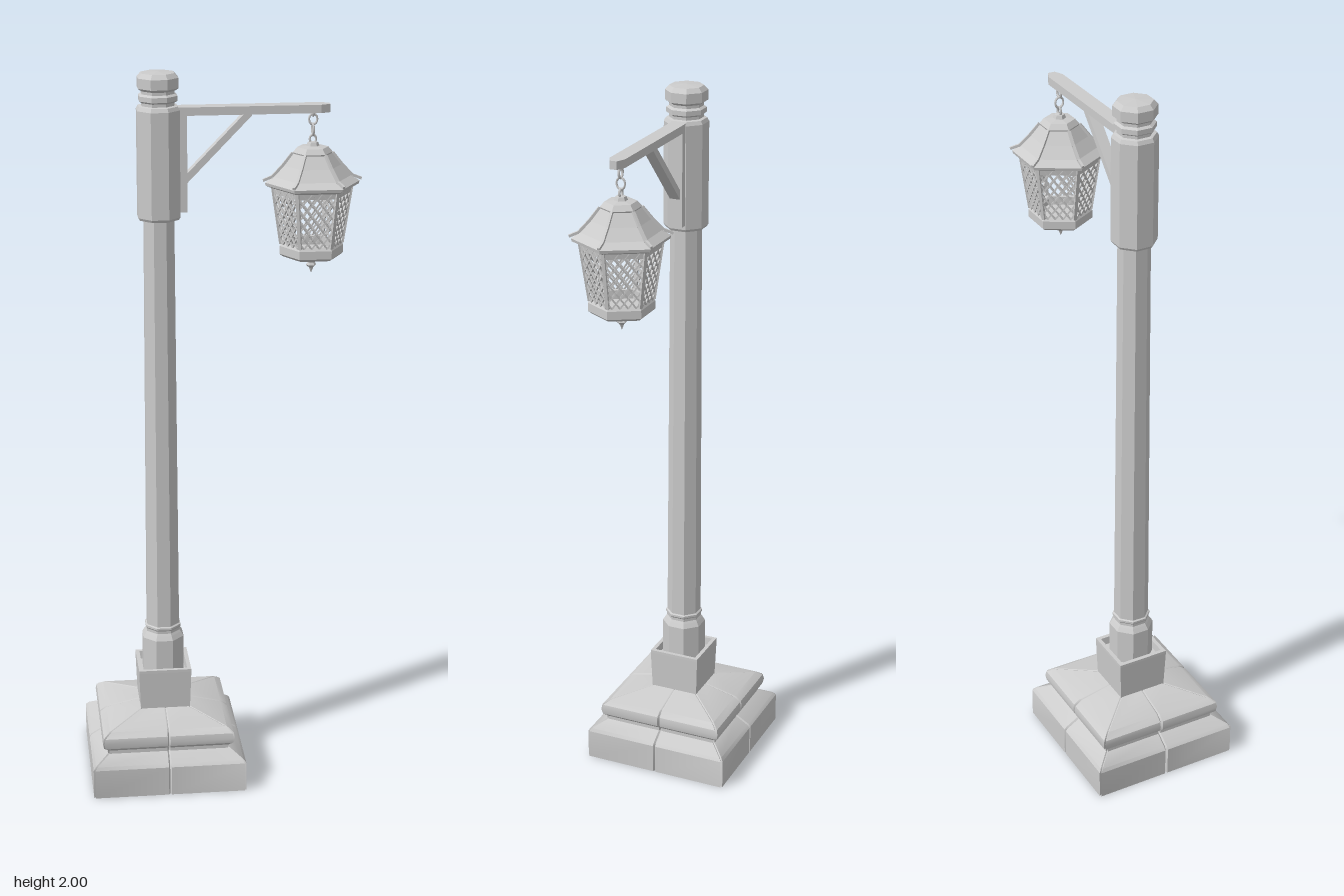
import * as THREE from 'three';
import { toCreasedNormals } from 'three/addons/utils/BufferGeometryUtils.js';

const flat = new THREE.MeshStandardMaterial({ color: 0xcccccc, flatShading: true, side: THREE.DoubleSide });
const smooth = new THREE.MeshStandardMaterial({ color: 0xcccccc });

function add(parent, name, geometry, material = flat) {
  const mesh = new THREE.Mesh(geometry, material);
  mesh.name = name;
  parent.add(mesh);
  return mesh;
}

// Faceted turning; profile is [apothem or radius, y] from bottom to top
function prism(parent, name, sides, profile, byCorner = false) {
  const k = byCorner ? 1 : 1 / Math.cos(Math.PI / sides);
  const points = profile.map(([r, y]) => new THREE.Vector2(r * k, y));
  return add(parent, name, new THREE.LatheGeometry(points, sides, Math.PI / sides));
}

// Square bar between two points
function bar(parent, name, a, b, width, height = width) {
  const mesh = new THREE.Mesh(new THREE.BoxGeometry(width, height, a.distanceTo(b)), flat);
  mesh.name = name;
  mesh.position.copy(a).lerp(b, 0.5);
  mesh.lookAt(b);
  parent.add(mesh);
  return mesh;
}

// Square stone base with joint grooves at the corners and the middle of each side
function stoneBase(profile) {
  const rings = profile.map(([h, y]) => {
    const g = Math.min(0.004, h * 0.1), ring = [];
    const side = [[-h + g, h], [-g, h], [0, h - 2 * g], [g, h], [h - g, h], [h - 2 * g, h - 2 * g]];
    for (let s = 0; s < 4; s++) {
      for (let [x, z] of side) {
        for (let i = 0; i < s; i++) [x, z] = [z, -x];
        ring.push(x, y, z);
      }
    }
    return ring;
  });
  const n = 24, index = [];
  for (let i = 0; i < rings.length - 1; i++) {
    for (let j = 0; j < n; j++) {
      const a = i * n + j, b = i * n + (j + 1) % n;
      index.push(a, b, b + n, a, b + n, a + n);
    }
  }
  const geometry = new THREE.BufferGeometry();
  geometry.setAttribute('position', new THREE.Float32BufferAttribute(rings.flat(), 3));
  geometry.setIndex(index);
  return toCreasedNormals(geometry, 0.6);
}

function createLantern() {
  const lantern = new THREE.Group();
  lantern.name = 'lantern';
  const corner = (i, r, y) => new THREE.Vector3(r * Math.cos(i * Math.PI / 3), y, r * Math.sin(i * Math.PI / 3));
  const top = [0.106, 1.685], bottom = [0.083, 1.53];

  prism(lantern, 'lanternRoof', 6, [[0.098, 1.683], [0.11, 1.683], [0.126, 1.69], [0.128, 1.698],
    [0.105, 1.713], [0.078, 1.743], [0.054, 1.775]], true);
  prism(lantern, 'roofCap', 6, [[0.05, 1.77], [0.054, 1.778], [0.042, 1.792], [0.018, 1.795],
    [0.014, 1.805], [0, 1.807]], true);
  prism(lantern, 'topFrame', 6, [[0.095, 1.668], [0.106, 1.668], [0.109, 1.688], [0.095, 1.688], [0.095, 1.668]], true);
  prism(lantern, 'bottomFrame', 6, [[0, 1.495], [0.078, 1.495], [0.087, 1.502], [0.087, 1.524],
    [0.08, 1.534], [0.07, 1.534], [0.07, 1.51], [0, 1.51]], true);
  prism(lantern, 'finial', 6, [[0, 1.447], [0.006, 1.462], [0.014, 1.47], [0.01, 1.477],
    [0.022, 1.486], [0.05, 1.496]], true);

  const strands = 4;
  for (let i = 0; i < 6; i++) {
    // Roof ribs with upturned tips, and corner posts
    bar(lantern, 'roofRib', corner(i, 0.054, 1.777), corner(i, 0.08, 1.744), 0.007);
    bar(lantern, 'roofRib', corner(i, 0.08, 1.744), corner(i, 0.108, 1.714), 0.007);
    bar(lantern, 'roofRib', corner(i, 0.108, 1.714), corner(i, 0.133, 1.704), 0.007);
    bar(lantern, 'cornerPost', corner(i, ...bottom), corner(i, ...top), 0.009);

    // Diamond lattice; u runs across the panel, v up it
    const at = (u, v) => corner(i, bottom[0], bottom[1]).lerp(corner(i + 1, bottom[0], bottom[1]), u)
      .lerp(corner(i, top[0], top[1]).lerp(corner(i + 1, top[0], top[1]), u), v);
    const slope = 1.25;
    for (let k = -strands; k < strands; k++) {
      const u0 = (k + 0.5) / strands;
      const v0 = Math.max(0, -u0 / slope), v1 = Math.min(1, (1 - u0) / slope);
      if (v1 - v0 < 0.05) continue;
      for (const flip of [false, true]) {
        const p = v => at(flip ? 1 - u0 - slope * v : u0 + slope * v, v);
        bar(lantern, 'latticeStrand', p(v0), p(v1), 0.0045);
      }
    }
  }

  // Hanging chain
  [[1.813, 0.011, 0], [1.838, 0.015, Math.PI / 2], [1.866, 0.014, 0], [1.885, 0.01, Math.PI / 2]].forEach(([y, r, turn]) => {
    const link = add(lantern, 'chainLink', new THREE.TorusGeometry(r, 0.0035, 6, 12), smooth);
    link.position.y = y;
    link.rotation.y = turn;
    link.scale.x = 0.8;
  });
  return lantern;
}

export function createModel() {
  const model = new THREE.Group();
  model.name = 'streetLamp';

  // Base and post share one axis
  const post = new THREE.Group();
  post.name = 'post';
  post.position.x = -0.166;
  model.add(post);
  add(post, 'stoneBase', stoneBase([[0, 0], [0.215, 0], [0.215, 0.085], [0.208, 0.093], [0.172, 0.115],
    [0.172, 0.125], [0.183, 0.135], [0.186, 0.15], [0.183, 0.165], [0.165, 0.178], [0.07, 0.2]]), smooth);
  prism(post, 'plinth', 4, [[0.068, 0.185], [0.07, 0.2], [0.074, 0.31], [0.074, 0.318],
    [0.063, 0.318], [0.061, 0.295], [0, 0.295]]);
  prism(post, 'collar', 8, [[0.057, 0.295], [0.057, 0.4], [0.05, 0.412], [0.046, 0.418],
    [0.046, 0.426], [0.049, 0.43], [0.049, 0.436], [0.043, 0.44]]);
  prism(post, 'shaft', 8, [[0.045, 0.43], [0.04, 1.62]]);
  prism(post, 'upperSleeve', 8, [[0.038, 1.608], [0.052, 1.608], [0.056, 1.615], [0.056, 1.9],
    [0.051, 1.91], [0.043, 1.912], [0.043, 1.92], [0.05, 1.925], [0.05, 1.938], [0.043, 1.943], [0.043, 1.952]]);
  prism(post, 'cap', 8, [[0.042, 1.95], [0.053, 1.958], [0.053, 1.985], [0.043, 1.997], [0, 2]]);

  // Arm with tapered tip
  const plan = new THREE.Shape([[-0.12, -0.021], [0.265, -0.021], [0.29, -0.01], [0.29, 0.01],
    [0.265, 0.021], [-0.12, 0.021]].map(p => new THREE.Vector2(...p)));
  const arm = add(model, 'arm', new THREE.ExtrudeGeometry(plan, { depth: 0.022, bevelEnabled: false }));
  arm.rotation.x = -Math.PI / 2;
  arm.position.y = 1.885;

  // Wall plate and diagonal brace under the arm
  const plate = add(model, 'wallPlate', new THREE.BoxGeometry(0.022, 0.26, 0.042));
  plate.position.set(-0.102, 1.757, 0);
  bar(model, 'brace', new THREE.Vector3(-0.098, 1.71, 0), new THREE.Vector3(0.075, 1.888, 0), 0.03, 0.018);

  const lantern = createLantern();
  lantern.position.x = 0.246;
  model.add(lantern);
  return model;
}
